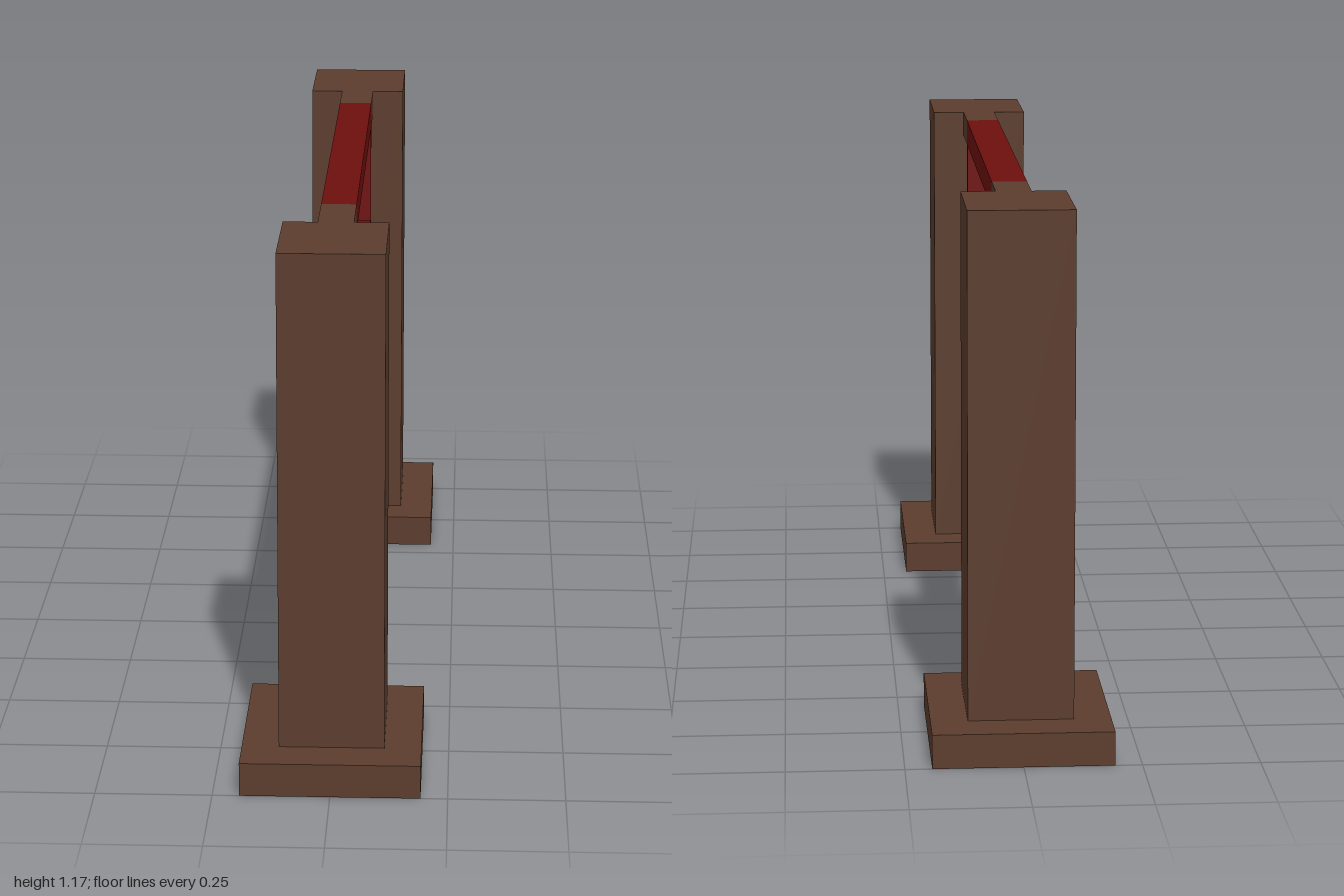
import * as THREE from 'three';

export function createModel() {
  const model = new THREE.Group();
  const wood = new THREE.MeshStandardMaterial({ color: 0x5c3d2e });
  const red = new THREE.MeshStandardMaterial({ color: 0x6e100e });

  // Box spanning y0..y1 and z0..z1, centred on x = 0
  function box(name, material, width, y0, y1, z0, z1, parent = model) {
    const mesh = new THREE.Mesh(new THREE.BoxGeometry(width, y1 - y0, Math.abs(z1 - z0)), material);
    mesh.position.set(0, (y0 + y1) / 2, (z0 + z1) / 2);
    mesh.name = name;
    parent.add(mesh);
  }

  const top = 1.167, beamBottom = 1.108, beamWidth = 0.077;
  const frameBack = -0.515, frameFront = 0.495, bar = 0.027, frameBottom = 0.85;

  // Two posts, each with a foot and a short arm reaching to the frame
  for (const [label, s, end] of [['front', 1, frameFront], ['back', -1, frameBack]]) {
    const post = new THREE.Group();
    post.name = label + 'Post';
    box(label + 'Foot', wood, 0.385, 0, 0.074, s * 0.56, s, post);
    box(label + 'Pillar', wood, 0.226, 0.074, top, s * 0.649, s * 0.908, post);
    box(label + 'Arm', wood, beamWidth, beamBottom, top, end, s * 0.649, post);
    model.add(post);
  }

  // Red hanging frame: crossbar, bottom rail and two uprights
  const frame = new THREE.Group();
  frame.name = 'hangingFrame';
  box('crossbar', red, beamWidth, beamBottom, top, frameBack, frameFront, frame);
  box('bottomRail', red, beamWidth, frameBottom, frameBottom + bar, frameBack, frameFront, frame);
  box('frontUpright', red, beamWidth, frameBottom + bar, beamBottom, frameFront - bar, frameFront, frame);
  box('backUpright', red, beamWidth, frameBottom + bar, beamBottom, frameBack, frameBack + bar, frame);
  model.add(frame);

  return model;
}
